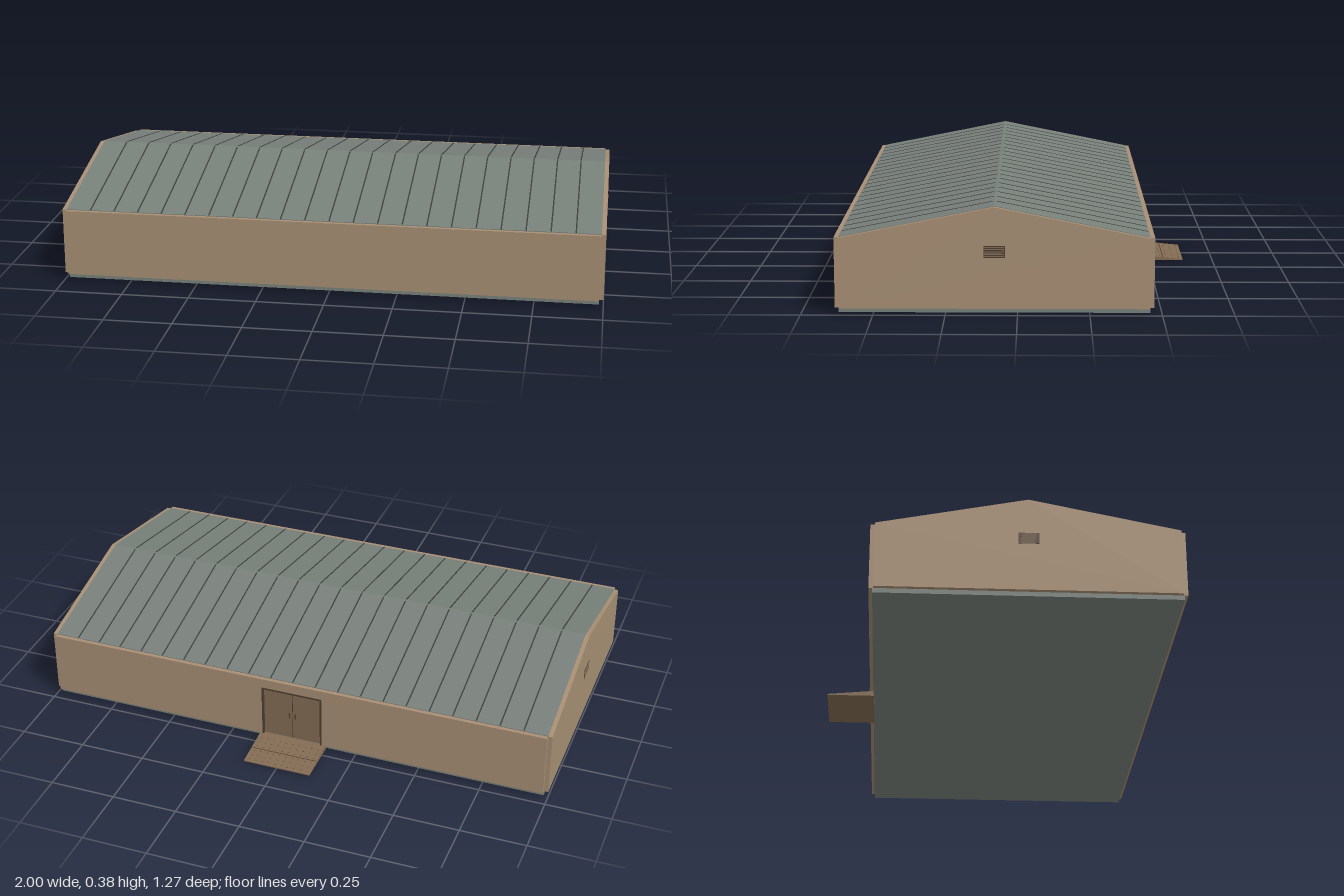
import * as THREE from 'three';

const RIDGE_Z = 0.08, RIDGE_Y = 0.382, EAVE_Y = 0.274, HALF_X = 0.984;
const FRONT_Z = 0.616, BACK_Z = -0.456, WALL_BOTTOM = 0.024;

function mat(name, color) {
  const m = new THREE.MeshStandardMaterial({ color });
  m.name = name;
  return m;
}

export function createModel() {
  const model = new THREE.Group();
  model.name = 'building';
  const wall = mat('tan wall', 0xa68e73);
  const roof = mat('grey-green metal', 0x78807a);
  const seamMat = mat('dark seam', 0x3d413e);
  const brown = mat('brown door', 0x826b53);
  const dark = mat('dark brown trim', 0x4c3e30);

  const add = (parent, name, geo, material, x = 0, y = 0, z = 0) => {
    const m = new THREE.Mesh(geo, material);
    m.name = name;
    m.position.set(x, y, z);
    parent.add(m);
    return m;
  };
  const box = (parent, name, w, h, d, material, x, y, z) =>
    add(parent, name, new THREE.BoxGeometry(w, h, d), material, x, y, z);
  const extrude = (points, depth) => new THREE.ExtrudeGeometry(
    new THREE.Shape(points.map(([x, y]) => new THREE.Vector2(x, y))),
    { depth, bevelEnabled: false });

  // Foundation slab
  box(model, 'foundation', HALF_X * 2, 0.018, FRONT_Z - BACK_Z + 0.006, roof, 0, 0.016, RIDGE_Z);

  // Long walls, the back one with a doorway
  const wallTop = 0.272;
  box(model, 'frontWall', HALF_X * 2, wallTop - WALL_BOTTOM, 0.016, wall,
    0, (wallTop + WALL_BOTTOM) / 2, FRONT_Z + 0.008);
  const doorW = 0.12, doorTop = 0.235;
  add(model, 'backWall', extrude([
    [-HALF_X, WALL_BOTTOM], [-doorW, WALL_BOTTOM], [-doorW, doorTop], [doorW, doorTop],
    [doorW, WALL_BOTTOM], [HALF_X, WALL_BOTTOM], [HALF_X, wallTop], [-HALF_X, wallTop],
  ], 0.016), wall, 0, 0, BACK_Z - 0.016);

  // Gable walls and their louvred vents
  const gable = extrude([
    [-FRONT_Z, WALL_BOTTOM], [-BACK_Z, WALL_BOTTOM], [-BACK_Z, EAVE_Y - 0.002],
    [-RIDGE_Z, RIDGE_Y - 0.002], [-FRONT_Z, EAVE_Y - 0.002],
  ], 0.016).rotateY(Math.PI / 2);
  for (const side of [-1, 1]) {
    add(model, side > 0 ? 'leftGable' : 'rightGable', gable, wall, side > 0 ? HALF_X : -1);
    const vent = new THREE.Group();
    vent.name = side > 0 ? 'leftVent' : 'rightVent';
    vent.position.set(side, 0.225, RIDGE_Z);
    model.add(vent);
    box(vent, 'ventBack', 0.002, 0.042, 0.074, dark, 0, 0, 0);
    for (let i = 0; i < 5; i++)
      box(vent, 'ventSlat', 0.004, 0.0035, 0.068, brown, 0, -0.016 + i * 0.008, 0);
  }

  // Two roof slopes with standing seams
  const run = FRONT_Z - RIDGE_Z, drop = RIDGE_Y - EAVE_Y;
  const length = Math.hypot(run, drop);
  for (const back of [false, true]) {
    const slope = new THREE.Group();
    slope.name = back ? 'backSlope' : 'frontSlope';
    slope.position.set(0, RIDGE_Y, RIDGE_Z);
    slope.rotation.set(Math.atan2(drop, run), back ? Math.PI : 0, 0, 'YXZ');
    model.add(slope);
    box(slope, 'roofSheet', HALF_X * 2, 0.01, length, roof, 0, -0.005, length / 2);
    for (let i = -10; i <= 10; i++)
      box(slope, 'roofSeam', 0.005, 0.0024, length - 0.008, seamMat, i * 0.0893, 0, length / 2 + 0.002);
  }

  // Double door set back in the doorway
  const door = new THREE.Group();
  door.name = 'door';
  model.add(door);
  const doorH = doorTop - WALL_BOTTOM, midY = (doorTop + WALL_BOTTOM) / 2;
  for (const s of [-1, 1]) {
    box(door, 'doorLeaf', doorW - 0.003, doorH, 0.006, brown, s * doorW / 2, midY, BACK_Z - 0.003);
    box(door, 'doorJamb', 0.006, doorH, 0.019, dark, s * (doorW - 0.003), midY, BACK_Z - 0.0085);
    box(door, 'doorHandle', 0.004, 0.022, 0.004, dark, s * 0.012, 0.125, BACK_Z - 0.008);
  }
  box(door, 'doorHeader', doorW * 2, 0.006, 0.019, dark, 0, doorTop - 0.003, BACK_Z - 0.0085);
  box(door, 'doorGap', 0.003, doorH, 0.004, dark, 0, midY, BACK_Z - 0.003);

  // Wedge ramp with a middle joint and rows of small grip studs
  const rampEnd = -0.635, rampTop = 0.021, rampTip = 0.004, rampX = 0.132;
  add(model, 'ramp', extrude([
    [-BACK_Z, 0], [-rampEnd, 0], [-rampEnd, rampTip], [-BACK_Z, rampTop],
  ], rampX * 2).rotateY(Math.PI / 2), brown, -rampX);
  const pitch = Math.atan2(rampTop - rampTip, BACK_Z - rampEnd);
  const rampY = z => rampTip + (z - rampEnd) * Math.tan(pitch);
  box(model, 'rampJoint', rampX * 2, 0.001, 0.003, dark, 0, rampY(-0.557), -0.557).rotation.x = -pitch;
  for (let row = 0; row < 6; row++)
    for (let col = 0; col < 10; col++) {
      const z = -0.62 + row * 0.025;
      box(model, 'gripStud', 0.004, 0.001, 0.003, dark, -0.115 + col * 0.0255, rampY(z), z).rotation.x = -pitch;
    }
  return model;
}
